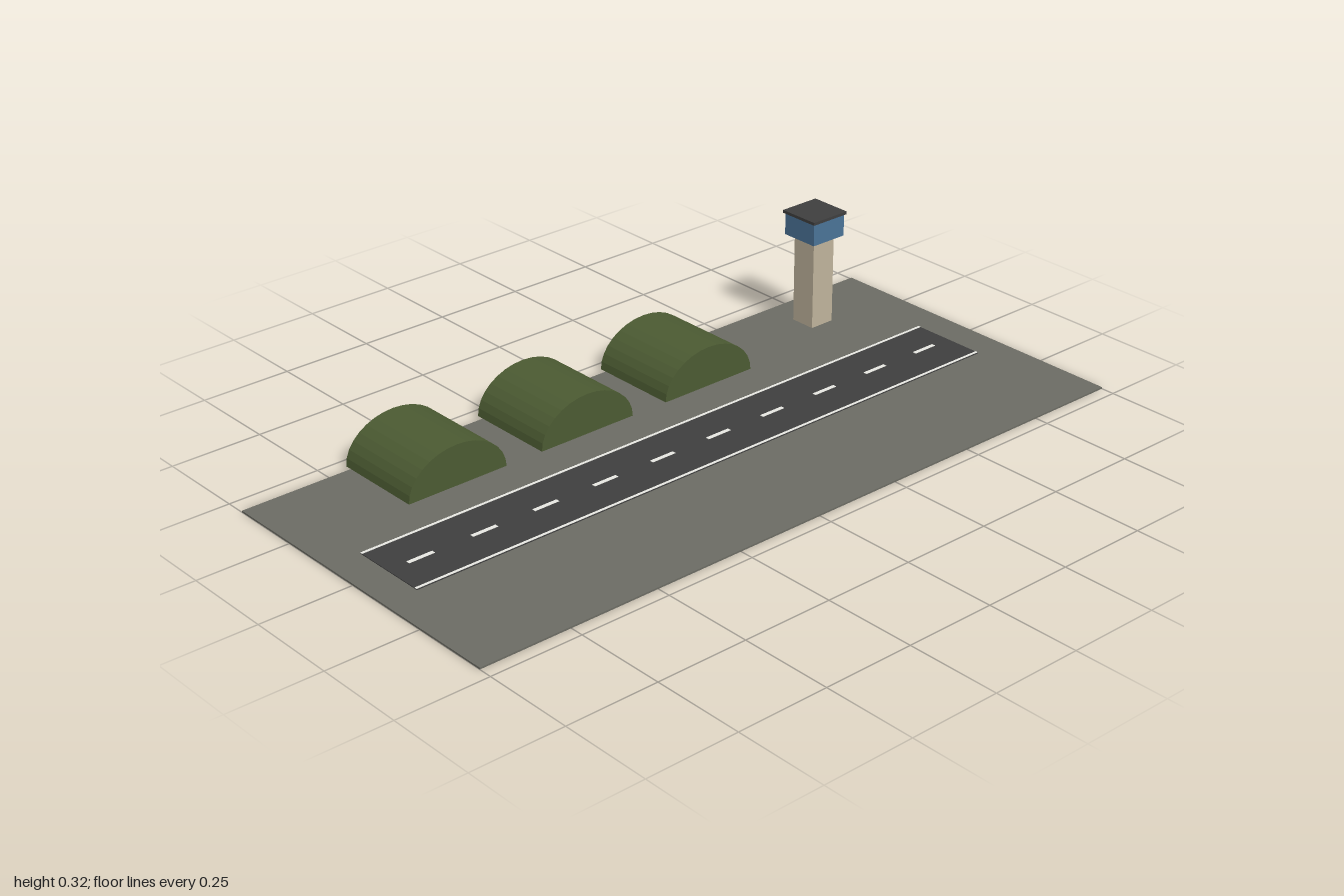
import * as THREE from 'three';

const U = 1 / 11;    // layout unit
const Z0 = 0.009;    // centre line of the airfield

const mat = (name, color) => {
  const m = new THREE.MeshStandardMaterial({ color });
  m.name = name;
  return m;
};

export function createModel() {
  const concrete = mat('concrete grey', 0x6b6b63);
  const asphalt = mat('asphalt', 0x3e3e3e);
  const paint = mat('white paint', 0xe6e6e0);
  const olive = mat('olive green', 0x4b5a32);
  olive.flatShading = true;
  const tan = mat('tan wall', 0xbdb29a);
  const blue = mat('blue glass', 0x4a7296);

  const model = new THREE.Group();
  model.name = 'airfield';

  // Box given by its footprint centre and its bottom and top heights
  const box = (name, material, w, d, x, z, bottom, top, parent = model) => {
    const mesh = new THREE.Mesh(new THREE.BoxGeometry(w, top - bottom, d), material);
    mesh.name = name;
    mesh.position.set(x, (bottom + top) / 2, z);
    parent.add(mesh);
  };

  // Ground and runway
  box('ground', concrete, 2, 10 * U, 0, Z0, 0, 0.0045);
  box('runway', asphalt, 20 * U, 2.4 * U, 0, Z0, 0.0035, 0.0065);

  // Runway markings
  const markings = new THREE.Group();
  markings.name = 'runwayMarkings';
  model.add(markings);
  for (const s of [-1, 1]) {
    box('edgeLine', paint, 20 * U, 0.08 * U, 0, Z0 + s * 1.14 * U, 0.006, 0.0075, markings);
  }
  for (let i = 0; i < 10; i++) {
    box('centreDash', paint, 0.8 * U, 0.12 * U, (-9 + 2 * i) * U, Z0, 0.006, 0.0075, markings);
  }

  // Arched hangars: flattened half cylinders with closed ends
  const arch = new THREE.Shape();
  const N = 16;
  for (let i = 0; i <= N; i++) {
    const a = (i / N) * Math.PI;
    const x = 1.6 * U * Math.cos(a), y = 1.2 * U * Math.sin(a);
    if (i) arch.lineTo(x, y); else arch.moveTo(x, y);
  }
  const hangarGeo = new THREE.ExtrudeGeometry(arch, { depth: 2.8 * U, bevelEnabled: false });
  hangarGeo.translate(0, 0, -1.4 * U);
  for (const x of [-6, -1.6, 2.8]) {
    const hangar = new THREE.Mesh(hangarGeo, olive);
    hangar.name = 'hangar';
    hangar.position.set(x * U, 0.005, Z0 - 3.8 * U);
    model.add(hangar);
  }

  // Control tower
  const tower = new THREE.Group();
  tower.name = 'controlTower';
  model.add(tower);
  const tx = 8 * U, tz = Z0 - 3.6 * U;
  box('towerShaft', tan, 0.8 * U, 0.8 * U, tx, tz, 0.003, 0.254, tower);
  box('towerCab', blue, 1.2 * U, 1.2 * U, tx, tz, 0.253, 0.316, tower);
  box('towerRoof', asphalt, 1.3 * U, 1.3 * U, tx, tz, 0.314, 0.322, tower);

  return model;
}
